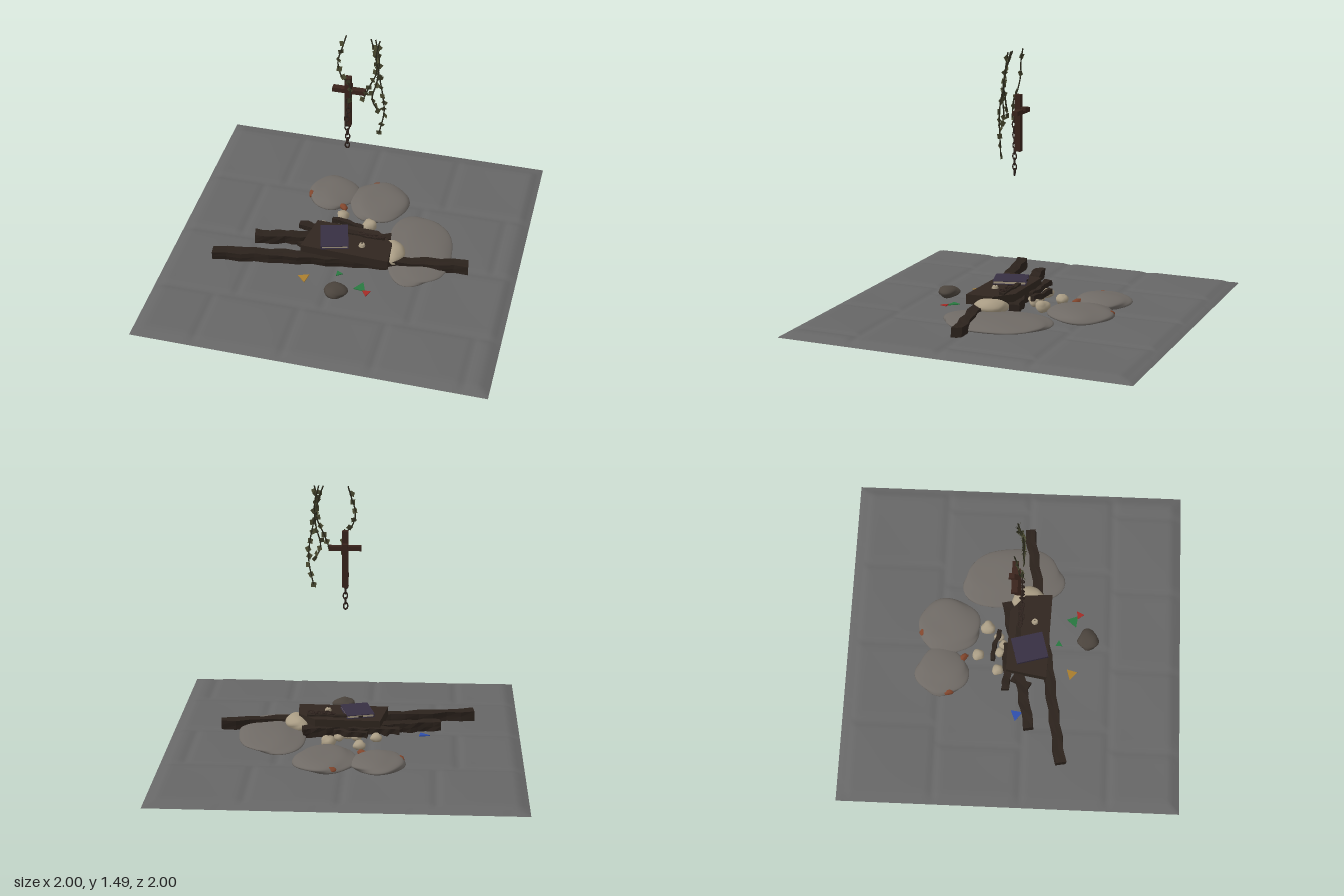
import * as THREE from 'three';
import { mergeVertices } from 'three/addons/utils/BufferGeometryUtils.js';

const paint = (color, extra = {}) => new THREE.MeshStandardMaterial({ color, ...extra });
const V = (x, y, z) => new THREE.Vector3(x, y, z);
const DS = { side: THREE.DoubleSide };

// Moves every vertex of a geometry by a rule
function reshape(geo, rule) {
  const p = geo.attributes.position, v = V(0, 0, 0);
  for (let i = 0; i < p.count; i++) {
    rule(v.fromBufferAttribute(p, i));
    p.setXYZ(i, v.x, v.y, v.z);
  }
  geo.computeVertexNormals();
  return geo;
}

export function createModel() {
  const root = new THREE.Group();
  let seed = 7;
  const rnd = () => (seed = (seed * 16807) % 2147483647) / 2147483647;
  const add = (name, geo, mat, pos = [0, 0, 0], rot = [0, 0, 0], parent = root) => {
    const m = new THREE.Mesh(geo, mat);
    m.name = name;
    m.position.set(...pos);
    m.rotation.set(...rot);
    parent.add(m);
    return m;
  };

  const charred = paint(0x2b221c, { flatShading: true });
  const plankWood = paint(0x30261f);
  const rust = paint(0x3a241c);
  const iron = paint(0x30241f);
  const stone = paint(0x6f6a65);
  const darkStone = paint(0x4a433c);
  const bone = paint(0xa99c84);
  const ember = paint(0x80452c);
  const leafMat = paint(0x4a4a30, DS);
  const stemMat = paint(0x2c2b1e);

  // Paved floor: a thin sheet with staggered shallow joints and a falling rim
  const joint = (d) => Math.exp(-((d / 0.022) ** 2));
  const floor = new THREE.PlaneGeometry(2, 2, 110, 110).rotateX(-Math.PI / 2);
  reshape(floor, (v) => {
    const row = Math.floor((v.z + 0.95) / 0.51);
    const dz = (v.z + 0.95) / 0.51, dx = (v.x + 1.02 + (row % 2) * 0.12) / 0.5;
    const gz = joint((dz - Math.round(dz)) * 0.51), gx = joint((dx - Math.round(dx)) * 0.5);
    const rim = Math.min(1, (1 - Math.max(Math.abs(v.x), Math.abs(v.z))) / 0.06);
    v.y = rim * (0.024 - 0.009 * Math.max(gx, gz) + 0.0015 * Math.sin(v.x * 7) * Math.sin(v.z * 6));
  });
  add('pavedFloor', floor, paint(0x666666, DS));

  // Rocks: flattened lumpy spheres
  function rock(name, pos, size, mat, lump = 0.06, detail = 7, ry = 0) {
    const g = new THREE.IcosahedronGeometry(1, detail);
    g.deleteAttribute('uv');
    g.deleteAttribute('normal');
    const k = pos[0] * 9 + pos[2] * 5;
    const geo = reshape(mergeVertices(g), (v) => {
      const s = 1 + lump * (Math.sin(v.x * 3.1 + k) * Math.cos(v.z * 3.7 - k) + 0.5 * Math.sin(v.y * 6 + v.x * 5 + k));
      v.multiplyScalar(s).multiply(V(...size));
    });
    return add(name, geo, mat, pos, [0, ry, 0]);
  }
  rock('backLeftBoulder', [0.09, 0.043, -0.39], [0.175, 0.038, 0.185], stone);
  rock('backRightBoulder', [-0.2, 0.042, -0.42], [0.15, 0.036, 0.155], stone);
  rock('sideBoulder', [0.41, 0.04, -0.02], [0.195, 0.034, 0.31], stone, 0.06, 7, 0.12);
  rock('frontStone', [0.03, 0.06, 0.445], [0.065, 0.032, 0.06], darkStone, 0.1, 4);
  rock('paleStone', [0.28, 0.08, 0.07], [0.065, 0.045, 0.095], bone, 0.08, 4, 0.3);
  const pebbles = [[-0.09, -0.21, 0.036], [0.085, -0.16, 0.042], [-0.18, -0.09, 0.034],
    [-0.07, -0.08, 0.03], [-0.02, -0.06, 0.028], [0.03, -0.09, 0.03]];
  for (const [x, z, r] of pebbles) rock('pebble', [x, 0.055, z], [r, r * 0.8, r], bone, 0.12, 2);
  // Rusty patches on the boulder edges
  for (const [x, z, a] of [[-0.325, -0.38, 0], [-0.11, -0.3, 0.8], [0.05, -0.55, 1.4]])
    rock('rustPatch', [x, 0.045, z], [0.02, 0.018, 0.035], ember, 0.1, 3, a);

  // Beams: long boxes roughened along their length, laid between two floor points
  function beam(name, [x0, z0], [x1, z1], y, w, h, mat = charred, rough = 0.005) {
    const len = Math.hypot(x1 - x0, z1 - z0);
    const geo = reshape(new THREE.BoxGeometry(len, h, w, 18, 2, 2), (v) => {
      const t = v.x * 38 + x0 * 10;
      v.z += rough * Math.sin(t) + rough * 0.6 * Math.sin(t * 2.3 + v.y * 60);
      v.y += rough * 0.6 * Math.sin(t * 1.4 + v.z * 50);
    });
    return add(name, geo, mat, [(x0 + x1) / 2, y, (z0 + z1) / 2], [0, -Math.atan2(z1 - z0, x1 - x0), 0]);
  }
  beam('longBeam', [-0.74, 0.3], [0.72, 0.07], 0.06, 0.06, 0.055);
  beam('shortBeam', [-0.54, 0.11], [0.24, -0.05], 0.065, 0.058, 0.055);
  beam('brokenBoard', [-0.31, -0.035], [-0.02, -0.04], 0.08, 0.045, 0.03);
  beam('splinter', [-0.13, -0.13], [0.06, -0.09], 0.085, 0.025, 0.03);
  beam('splinter', [-0.28, 0.1], [-0.22, 0.0], 0.05, 0.04, 0.03);

  // Slab of planks on top of the beams
  const slab = new THREE.Shape([[-0.2, 0.04], [-0.24, -0.2], [0.28, -0.22], [0.27, -0.06], [0.17, 0.03]]
    .map(([x, y]) => new THREE.Vector2(x, y)));
  add('plankSlab', new THREE.ExtrudeGeometry(slab, { depth: 0.055, bevelEnabled: false }).rotateX(-Math.PI / 2),
    plankWood, [0, 0.08, 0]);
  beam('topSplinter', [-0.1, 0.02], [0.22, 0.035], 0.138, 0.03, 0.016, charred, 0.003);

  // Closed book: two covers, a spine and pale pages
  const book = new THREE.Group();
  book.name = 'book';
  book.position.set(-0.065, 0.135, 0.095);
  book.rotation.y = 0.27;
  root.add(book);
  const cover = paint(0x372f43);
  for (const y of [0.002, 0.019]) add('bookCover', new THREE.BoxGeometry(0.16, 0.004, 0.19), cover, [0, y, 0], [0, 0, 0], book);
  add('bookSpine', new THREE.BoxGeometry(0.006, 0.02, 0.19), cover, [-0.077, 0.0105, 0], [0, 0, 0], book);
  add('bookPages', new THREE.BoxGeometry(0.148, 0.014, 0.18), bone, [0, 0.0105, 0], [0, 0, 0], book);

  // Candle stub with a wick
  add('candle', new THREE.CylinderGeometry(0.015, 0.02, 0.014, 14), bone, [0.105, 0.142, 0.12]);
  add('candleWick', new THREE.CylinderGeometry(0.002, 0.002, 0.018, 6), charred, [0.105, 0.153, 0.12]);

  // Coloured glass shards lying on the floor
  const shards = [[-0.445, 0.03, 0.04, 0x2f4fae, 0.4], [-0.18, 0.35, 0.038, 0xa87d2e, 0.3], [0.155, 0.355, 0.042, 0x28773f, 0.9],
    [0.005, 0.27, 0.024, 0x28773f, -0.5], [0.195, 0.39, 0.028, 0xa32a25, 0.1]];
  for (const [x, z, r, c, a] of shards)
    add('glassShard', new THREE.CylinderGeometry(r, r, 0.005, 3), paint(c, { flatShading: true }), [x, 0.03, z], [0.06, a, 0.05]);

  // Hanging cross
  add('crossUpright', new THREE.BoxGeometry(0.034, 0.32, 0.034), rust, [0, 1.07, 0.02]);
  add('crossArm', new THREE.BoxGeometry(0.18, 0.026, 0.034), rust, [0, 1.135, 0.005]);
  add('crossPeg', new THREE.BoxGeometry(0.03, 0.02, 0.04), rust, [0, 1.15, -0.008]);

  // Chain: links turned alternately, hanging down the front of the cross
  const link = new THREE.TorusGeometry(0.012, 0.004, 6, 12).scale(1, 1.5, 1);
  for (let i = 0; i < 11; i++)
    add('chainLink', link, iron, [0.008 * Math.sin(i * 0.9) * (i / 10), 0.79 + i * 0.03, 0.044], [0, (i % 2) * 1.3 + 0.15, 0]);

  // Fallen links on the slab
  for (let i = 0; i < 6; i++)
    add('fallenLink', link, iron, [0.08 + i * 0.024, 0.15, 0.03 + 0.006 * (i % 3)], [Math.PI / 2 - (i % 2) * 0.8, 0, Math.PI / 2]);

  // Vines with diamond leaves
  const vines = [
    [[-0.015, 1.485, 0], [-0.035, 1.41, 0.02], [-0.055, 1.33, 0.03], [-0.035, 1.25, 0.04], [0.01, 1.2, 0.045], [0.02, 1.1, 0.05]],
    [[0.12, 1.485, 0.005], [0.15, 1.4, 0.025], [0.16, 1.3, 0.04], [0.12, 1.2, 0.045], [0.09, 1.12, 0.05]],
    [[0.145, 1.485, 0.005], [0.17, 1.38, 0.025], [0.165, 1.25, 0.045], [0.14, 1.13, 0.05], [0.17, 1.06, 0.05]],
    [[0.17, 1.485, 0.01], [0.155, 1.4, 0.03], [0.175, 1.28, 0.04], [0.2, 1.15, 0.05], [0.205, 1.05, 0.045], [0.18, 0.91, 0.05]],
  ];
  const leaf = new THREE.CircleGeometry(0.02, 4);
  for (const pts of vines) {
    const curve = new THREE.CatmullRomCurve3(pts.map((p) => V(...p)));
    add('vineStem', new THREE.TubeGeometry(curve, 24, 0.004, 5), stemMat);
    const n = Math.round(curve.getLength() / 0.05);
    for (let i = 1; i <= n; i++) {
      const p = curve.getPoint(i / n);
      add('vineLeaf', leaf, leafMat, [p.x + (rnd() - 0.5) * 0.02, p.y, p.z + (rnd() - 0.5) * 0.008],
        [(rnd() - 0.5) * 0.8, (rnd() - 0.5) * 1.8, rnd() * 1.5]);
    }
  }
  return root;
}
